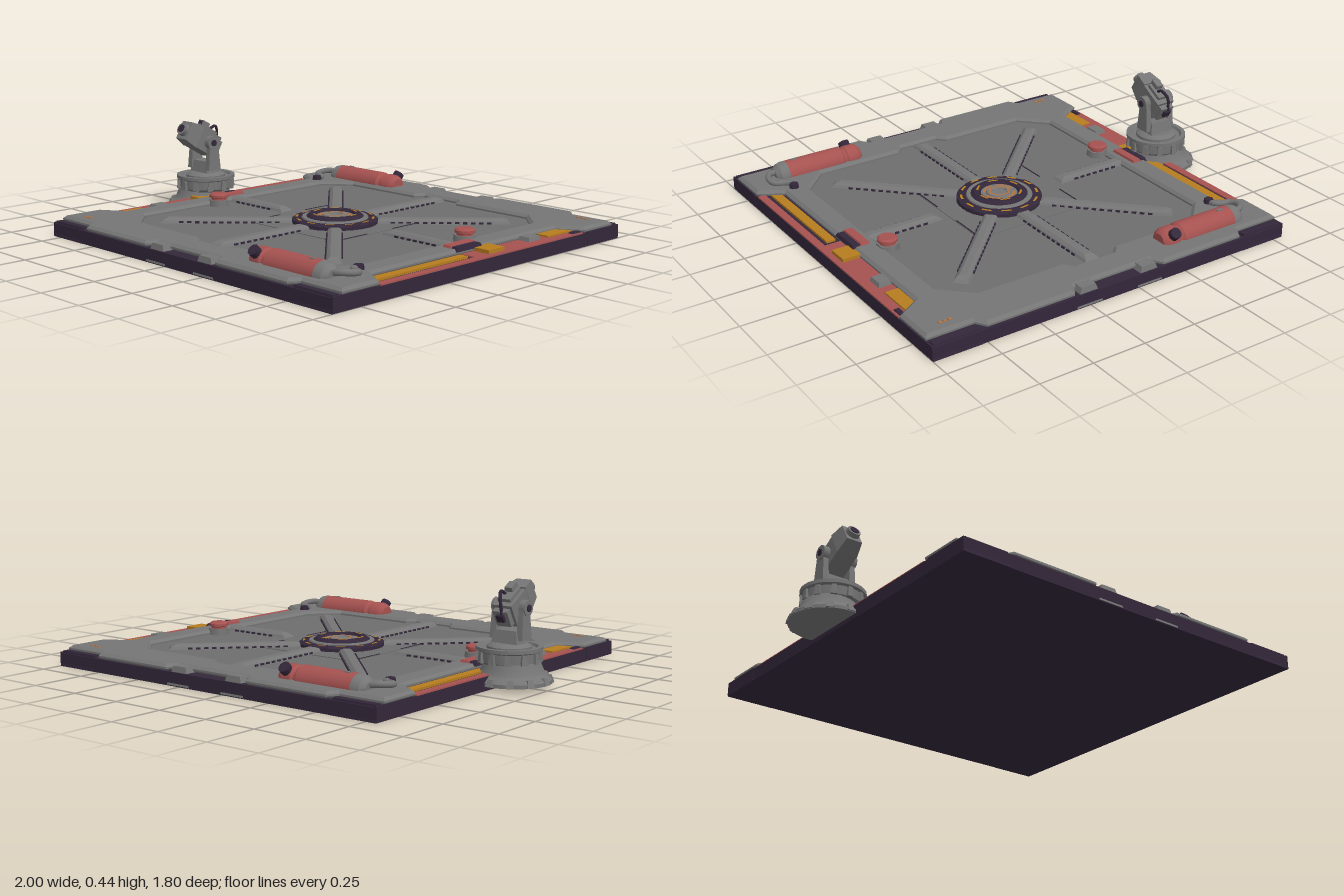
import * as THREE from 'three';
import { toCreasedNormals } from 'three/addons/utils/BufferGeometryUtils.js';

const paint = (name, color) => Object.assign(new THREE.MeshStandardMaterial({ color }), { name });

export function createModel() {
  const grey = paint('steel grey', 0x757575);
  const floorGrey = paint('floor grey', 0x6e6e6e);
  const red = paint('faded red', 0xa55250);
  const dark = paint('dark plum', 0x33273a);
  const orange = paint('hazard orange', 0xb57c1e);
  const copper = paint('copper', 0xb5723f);

  const model = new THREE.Group();
  const pad = new THREE.Group();
  pad.name = 'landingPad';
  pad.position.x = 0.1;
  model.add(pad);

  const add = (parent, name, geo, mat, x = 0, y = 0, z = 0) => {
    const m = new THREE.Mesh(geo, mat);
    m.name = name;
    m.position.set(x, y, z);
    parent.add(m);
    return m;
  };
  // box given by its extents
  const block = (parent, name, mat, x0, x1, y0, y1, z0, z1) =>
    add(parent, name, new THREE.BoxGeometry(x1 - x0, y1 - y0, z1 - z0), mat, (x0 + x1) / 2, (y0 + y1) / 2, (z0 + z1) / 2);
  // box standing on y = 0 whose top is drawn in by ix and iz
  const frustum = (w, h, d, ix, iz) => {
    const g = new THREE.BoxGeometry(w, h, d).translate(0, h / 2, 0), p = g.attributes.position;
    for (let i = 0; i < p.count; i++) if (p.getY(i) > h / 2)
      p.setXYZ(i, p.getX(i) - Math.sign(p.getX(i)) * ix, h, p.getZ(i) - Math.sign(p.getZ(i)) * iz);
    return toCreasedNormals(g, 0.2);
  };
  const vec = pts => pts.map(p => new THREE.Vector2(...p));
  const lathe = (pts, n = 32) => toCreasedNormals(new THREE.LatheGeometry(vec(pts), n), 0.5);
  const cyl = (r0, r1, h, n = 16) => new THREE.CylinderGeometry(r0, r1, h, n);
  // flat dashes laid around a ring
  const dashes = (parent, name, mat, rIn, rOut, y, n, fill) => {
    for (let i = 0; i < n; i++) {
      const a = i * Math.PI * 2 / n;
      add(parent, name, new THREE.RingGeometry(rIn, rOut, 6, 1, a, fill * Math.PI * 2 / n).rotateX(-Math.PI / 2), mat, 0, y, 0);
    }
  };

  // slab and sunken floor
  block(pad, 'slab', dark, -0.9, 0.9, 0, 0.06, -0.9, 0.9);
  block(pad, 'floor', floorGrey, -0.73, 0.73, 0.06, 0.068, -0.73, 0.73);
  block(pad, 'centrePlate', floorGrey, -0.285, 0.285, 0.066, 0.071, -0.275, 0.275);
  for (const s of [-1, 1]) {
    block(pad, 'plateSeam', dark, s * 0.28 - 0.003, s * 0.28 + 0.003, 0.07, 0.073, -0.25, -0.08);
    block(pad, 'plateSeam', dark, s * 0.28 - 0.003, s * 0.28 + 0.003, 0.07, 0.073, 0.08, 0.25);
  }

  // raised deck frame with an eight-sided opening; half outlines repeat turned by 180 degrees
  const turned = half => vec([...half, ...half.map(([x, y]) => [-x, -y])]);
  const outline = new THREE.Shape(turned([
    [0.79, -0.58], [0.79, 0.58], [0.9, 0.65], [0.9, 0.85], [0.68, 0.85], [0.65, 0.897], [0.23, 0.897],
    [0.2, 0.85], [-0.2, 0.85], [-0.23, 0.897], [-0.65, 0.897], [-0.68, 0.85], [-0.9, 0.85], [-0.9, 0.65]]));
  outline.holes.push(new THREE.Path(turned([
    [0.675, -0.555], [0.675, 0.555], [0.555, 0.675], [0.135, 0.675], [0.1, 0.715],
    [-0.1, 0.715], [-0.135, 0.675], [-0.555, 0.675]])));
  const frame = new THREE.ExtrudeGeometry(outline, {
    depth: 0.008, bevelThickness: 0.012, bevelSize: 0.014, bevelOffset: -0.014, bevelSegments: 1 });
  add(pad, 'deckFrame', frame.rotateX(Math.PI / 2), grey, 0, 0.076, 0);

  // floor ribs, with dark vents along their sides
  const rib = (angle, r0, r1, w) => {
    const g = new THREE.Group();
    g.name = 'rib';
    g.rotation.y = angle;
    pad.add(g);
    const mid = (r0 + r1) / 2;
    add(g, 'ribLower', frustum(r1 - r0, 0.014, w, 0.012, 0.008), grey, mid, 0.066, 0);
    add(g, 'ribUpper', frustum(r1 - r0 - 0.024, 0.01, w - 0.016, 0.025, 0.014), grey, mid, 0.08, 0);
    for (let x = r0 + 0.08; x < r1 - 0.08; x += 0.036)
      for (const s of [-1, 1]) block(g, 'ribVent', dark, x, x + 0.02, 0.069, 0.077, s * (w / 2 - 0.002) - 0.003, s * (w / 2 - 0.002) + 0.003);
  };
  for (let i = 0; i < 8; i++) {
    const a = i * Math.PI / 4;
    if (i % 4 === 0) rib(a, 0.32, 0.715, 0.072);
    else if (i % 2 === 0) rib(a, 0.17, 0.71, 0.078);
    else rib(a, 0.17, 0.79, 0.072);
  }

  // central hub
  const hub = new THREE.Group();
  hub.name = 'hub';
  pad.add(hub);
  add(hub, 'hubOuterRing', lathe([[0.195, 0.066], [0.195, 0.085], [0.18, 0.093], [0.15, 0.093]]), dark);
  add(hub, 'hubGreyRing', lathe([[0.152, 0.092], [0.148, 0.099], [0.13, 0.099]]), grey);
  add(hub, 'hubInnerRing', lathe([[0.132, 0.097], [0.115, 0.112], [0.09, 0.112], [0.082, 0.1]]), dark);
  add(hub, 'hubDish', lathe([[0.086, 0.102], [0.06, 0.1], [0.056, 0.107], [0.04, 0.107], [0.036, 0.1], [0, 0.1]]), grey);
  dashes(hub, 'outerDash', orange, 0.168, 0.179, 0.0945, 12, 0.5);
  dashes(hub, 'innerDash', orange, 0.094, 0.104, 0.1135, 6, 0.45);
  dashes(hub, 'dishDash', copper, 0.062, 0.074, 0.1035, 4, 0.7);
  dashes(hub, 'dishRing', copper, 0.042, 0.052, 0.1085, 1, 1);
  for (let i = 0; i < 12; i++) {
    const a = (i + 0.5) * Math.PI / 6;
    const lug = add(hub, 'hubLug', frustum(0.02, 0.022, 0.05, 0.004, 0.006), dark, Math.cos(a) * 0.186, 0.068, Math.sin(a) * 0.186);
    lug.rotation.y = -a;
  }

  // everything that appears twice, turned half way round
  for (let k = 0; k < 2; k++) {
    const h = new THREE.Group();
    h.name = k ? 'rightHalf' : 'leftHalf';
    h.rotation.y = k * Math.PI;
    pad.add(h);

    // side channel
    block(h, 'sideStripRed', red, 0.78, 0.898, 0.058, 0.066, -0.64, 0.05);
    block(h, 'sideEdgeRed', red, 0.862, 0.898, 0.058, 0.066, 0.05, 0.64);
    block(h, 'longOrangeStripe', orange, 0.8, 0.843, 0.058, 0.07, 0.07, 0.62);
    block(h, 'orangePlate', orange, 0.79, 0.852, 0.06, 0.073, -0.62, -0.45);
    block(h, 'shortOrangePlate', orange, 0.785, 0.87, 0.06, 0.082, -0.13, -0.03);
    add(h, 'channelBox', frustum(0.062, 0.02, 0.08, 0.006, 0.006), grey, 0.82, 0.064, -0.36);
    add(h, 'channelEnd', frustum(0.03, 0.01, 0.07, 0.005, 0.01), dark, 0.875, 0.062, -0.61);
    add(h, 'redLatch', frustum(0.05, 0.024, 0.17, 0.006, 0.01), red, 0.735, 0.075, 0);
    add(h, 'darkLatch', frustum(0.04, 0.018, 0.16, 0.005, 0.01), dark, 0.775, 0.078, 0);

    // edge armour on the front and back
    for (const s of [-1, 1]) {
      add(h, 'cornerGuard', frustum(0.225, 0.07, 0.05, 0.008, 0.01), dark, s * 0.787, 0, 0.877);
      add(h, 'edgeBlock', frustum(0.13, 0.082, 0.075, 0.03, 0.014), grey, s * 0.155, 0.004, 0.864);
      block(h, 'sideGuard', dark, 0.89, 0.902, 0.003, 0.064, s * 0.785 - 0.115, s * 0.785 + 0.115);
    }

    // floor button
    add(h, 'buttonCollar', cyl(0.048, 0.052, 0.03, 6), grey, 0.655, 0.082, -0.13);
    add(h, 'button', lathe([[0.036, 0], [0.036, 0.01], [0.045, 0.014], [0.045, 0.026], [0.036, 0.033], [0, 0.033]], 16), red, 0.655, 0.095, -0.13);

    // corner marker
    for (const x of [-0.022, 0, 0.022])
      add(h, 'cornerMarker', new THREE.BoxGeometry(0.014, 0.004, x ? 0.016 : 0.01), copper, -0.78 + x, 0.089, 0.795);

    // gas canister with hose
    const can = new THREE.Group();
    can.name = 'canister';
    can.position.set(0.315, 0.085, 0.755);
    h.add(can);
    const along = pts => lathe(pts, 24).rotateZ(-Math.PI / 2);
    add(can, 'canisterBody', along([[0, 0], [0.038, 0], [0.052, 0.015], [0.057, 0.03], [0.057, 0.075], [0.05, 0.083],
      [0.05, 0.093], [0.06, 0.105], [0.06, 0.385]]), red);
    add(can, 'canisterCap', along([[0.06, 0.385], [0.06, 0.4], [0.054, 0.425], [0.035, 0.445], [0, 0.445]]), grey);
    add(can, 'canisterLabel', new THREE.BoxGeometry(0.03, 0.004, 0.014), grey, 0.335, 0.06, 0.006);
    const valve = add(can, 'valve', cyl(0.026, 0.026, 0.05, 10), dark, 0.048, 0.036, 0.04);
    valve.rotation.x = 0.8;
    const hose = new THREE.CatmullRomCurve3([[0.43, 0.02, 0], [0.475, 0.025, -0.015], [0.497, 0.02, -0.06], [0.485, 0.015, -0.095],
      [0.44, 0.012, -0.112], [0.422, 0.012, -0.13], [0.42, 0.005, -0.155]].map(p => new THREE.Vector3(...p)));
    add(can, 'hose', new THREE.TubeGeometry(hose, 24, 0.014, 8), grey);
    add(can, 'hoseSocket', cyl(0.02, 0.025, 0.03, 8), dark, 0.42, 0.008, -0.16);
  }

  // turret on the right edge
  const turret = new THREE.Group();
  turret.name = 'turret';
  turret.position.x = -0.81;
  model.add(turret);
  add(turret, 'turretFoot', lathe([[0, 0.02], [0.172, 0.02], [0.172, 0.036], [0.14, 0.06], [0.128, 0.085], [0.12, 0.11], [0, 0.11]]), grey, -0.015);
  add(turret, 'turretCup', lathe([[0.1, 0.09], [0.118, 0.1], [0.128, 0.11], [0.13, 0.15], [0.142, 0.156], [0.142, 0.172],
    [0.122, 0.172], [0.115, 0.16], [0, 0.16]]), grey);
  for (let i = 0; i < 12; i++) {
    const a = i * Math.PI / 6, c = Math.cos(a), s = Math.sin(a);
    add(turret, 'cupRib', frustum(0.022, 0.045, 0.028, 0.003, 0.004), grey, c * 0.13, 0.106, s * 0.13).rotation.y = -a;
    if (c < 0.2) add(turret, 'footLug', frustum(0.045, 0.03, 0.035, 0.012, 0.006), grey, c * 0.155 - 0.015, 0.022, s * 0.155).rotation.y = -a;
  }
  add(turret, 'turntable', lathe([[0.095, 0.155], [0.095, 0.172], [0.075, 0.185], [0, 0.185]], 24), grey);

  // yoke
  add(turret, 'pedestal', frustum(0.13, 0.06, 0.09, 0.012, 0.012), grey, 0, 0.18, 0.0);
  for (const s of [-1, 1]) {
    add(turret, 'yokeArm', frustum(0.03, 0.15, 0.075, 0.004, 0.014), grey, s * 0.066, 0.2, 0.008);
    add(turret, 'yokePivot', cyl(0.034, 0.034, 0.03, 12).rotateZ(Math.PI / 2), grey, s * 0.068, 0.335, 0.015);
    add(turret, 'yokeBolt', cyl(0.016, 0.016, 0.012, 8).rotateZ(Math.PI / 2), dark, s * 0.082, 0.335, 0.015);
  }

  // tilted head
  const head = new THREE.Group();
  head.name = 'turretHead';
  head.position.set(0, 0.342, 0.025);
  head.rotation.x = -0.52;
  turret.add(head);
  block(head, 'headBody', grey, -0.048, 0.048, -0.055, 0.05, -0.075, 0.055);
  add(head, 'headFront', frustum(0.098, 0.07, 0.115, 0.012, 0.012).rotateX(Math.PI / 2), grey, 0, 0, 0.05);
  add(head, 'muzzle', cyl(0.03, 0.034, 0.03, 12).rotateX(Math.PI / 2), grey, 0, 0.0, 0.126);
  add(head, 'muzzleBore', cyl(0.02, 0.02, 0.006, 12).rotateX(Math.PI / 2), dark, 0, 0.0, 0.141);
  block(head, 'headRear', grey, -0.036, 0.036, -0.04, 0.036, -0.1, -0.07);
  block(head, 'rearSocket', dark, -0.018, 0.018, -0.01, 0.022, -0.113, -0.098);
  block(head, 'topRail', grey, -0.032, 0.032, 0.048, 0.066, -0.05, 0.04);
  block(head, 'sight', grey, -0.018, 0.018, 0.064, 0.088, 0.0, 0.045);
  block(head, 'sightLens', dark, -0.012, 0.012, 0.068, 0.084, 0.044, 0.048);
  const cable = new THREE.CatmullRomCurve3([[0.012, 0.06, -0.01], [0.016, 0.092, -0.03], [0, 0.08, -0.07], [-0.008, 0.02, -0.102]]
    .map(p => new THREE.Vector3(...p)));
  add(head, 'cable', new THREE.TubeGeometry(cable, 16, 0.007, 6), dark);

  return model;
}
